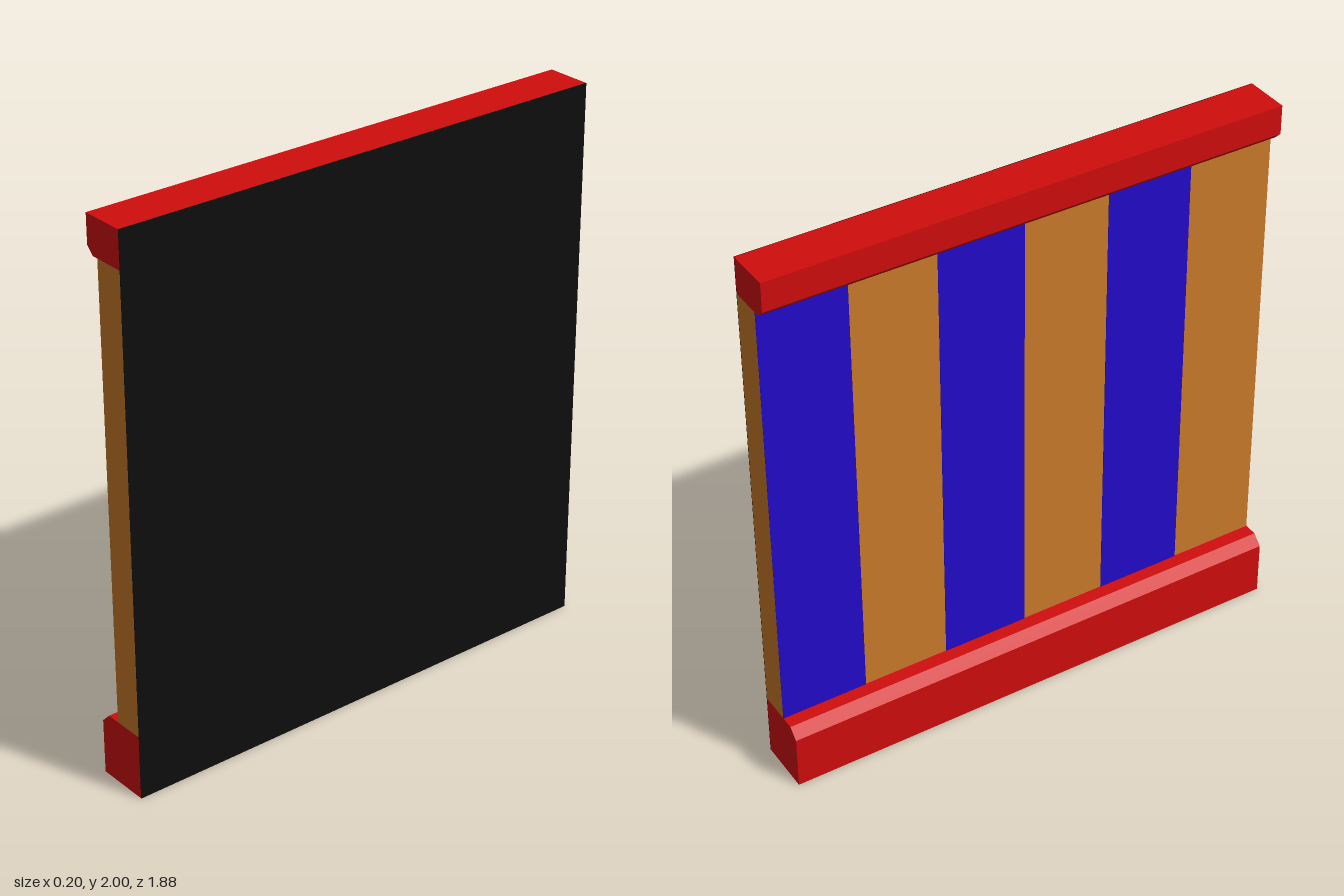
import * as THREE from 'three';

const LENGTH = 1.88;
const BACK = 0.1; // x of the flat dark side
const SKIN = 0.002; // thickness of the dark backing and the painted stripes

const paint = (color) => new THREE.MeshStandardMaterial({ color, flatShading: true });

export function createModel() {
  const model = new THREE.Group();
  const red = paint(0xd00d0d);
  const wood = paint(0xc97a2a);
  const blue = paint(0x220ac8);
  const black = paint(0x0d0d0d);

  const add = (name, geometry, material) => {
    const mesh = new THREE.Mesh(geometry, material);
    mesh.name = name;
    model.add(mesh);
    return mesh;
  };

  // Box given by its limits on each axis
  const box = (name, [x0, x1], [y0, y1], [z0, z1], material) =>
    add(name, new THREE.BoxGeometry(x1 - x0, y1 - y0, z1 - z0), material)
      .position.set((x0 + x1) / 2, (y0 + y1) / 2, (z0 + z1) / 2);

  // Rail: an x-y cross-section run along the whole wall
  const rail = (name, points) => {
    const shape = new THREE.Shape(points.map(([x, y]) => new THREE.Vector2(x, y)));
    const geometry = new THREE.ExtrudeGeometry(shape, { depth: LENGTH, bevelEnabled: false });
    add(name, geometry.translate(0, 0, -LENGTH / 2), red);
  };

  const inner = BACK - SKIN;
  const half = LENGTH / 2;

  // Chamfered skirting and top moulding
  rail('bottomRail', [[-0.1, 0], [inner, 0], [inner, 0.235], [-0.065, 0.235], [-0.1, 0.2]]);
  rail('topRail', [[-0.038, 1.868], [inner, 1.868], [inner, 2], [-0.065, 2], [-0.065, 1.895]]);

  // Wall panel between the rails, with a flat backing
  box('wallPanel', [-0.015, inner], [0.235, 1.868], [-half, half], wood);
  box('backing', [inner, BACK], [0, 2], [-half, half], black);

  // Every other sixth of the panel is painted blue
  const width = LENGTH / 6;
  for (let i = 0; i < 6; i += 2) {
    const z = -half + i * width;
    box(`stripe${i / 2 + 1}`, [-0.015 - SKIN, -0.015], [0.235, 1.868], [z, z + width], blue);
  }

  return model;
}
